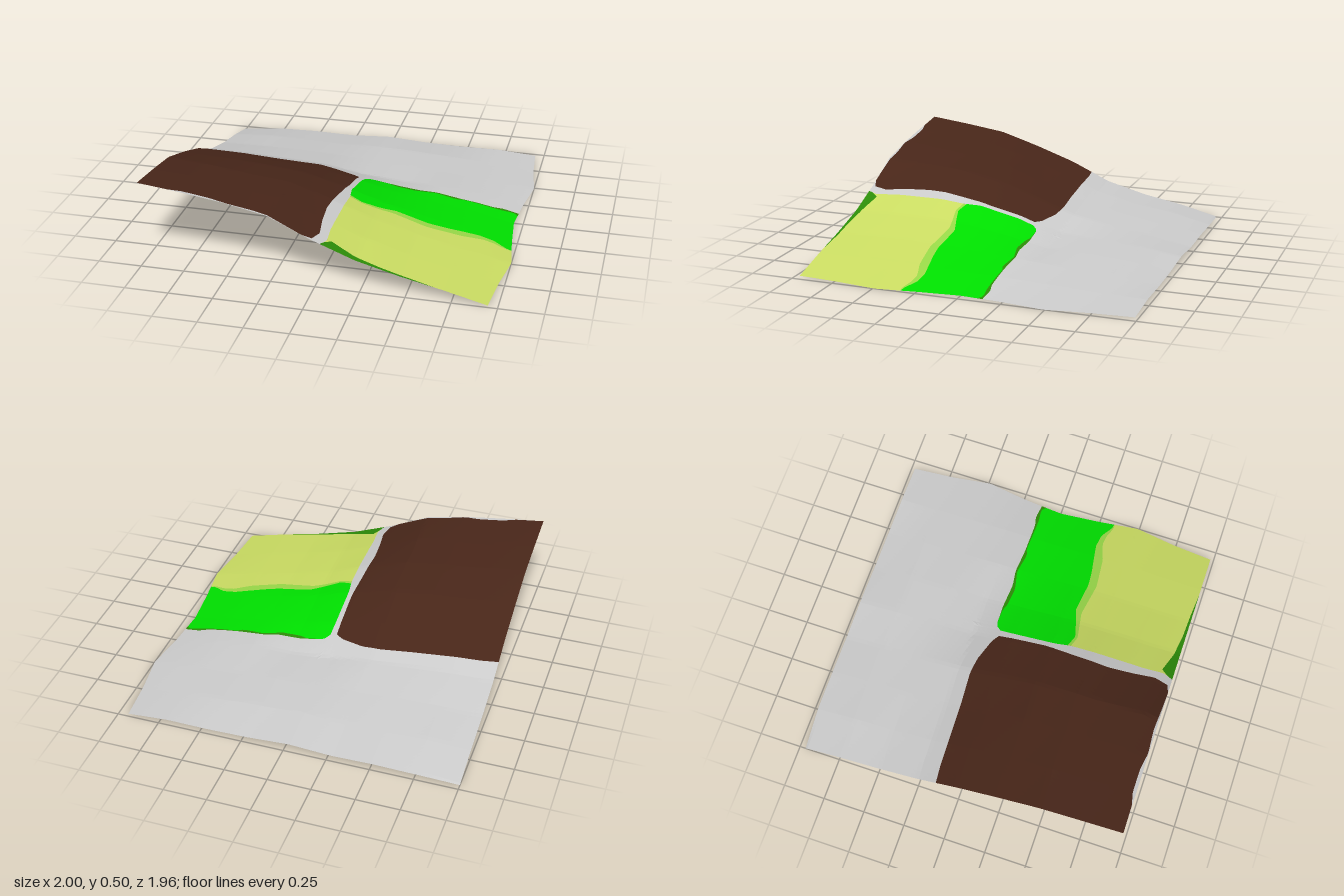
import * as THREE from 'three';

const SIDE = 0.98, RIGHT = 0.95, GAP_L = -0.02, GAP_R = 0.03;

// Terrain heights: rows run back to front, columns run from -x to +x
const HEIGHTS = [
  [0, 0.02, 0.025, 0.02, 0.035, 0.02, 0.015, 0.018, 0],
  [0.06, 0.075, 0.07, 0.065, 0.07, 0.06, 0.045, 0.025, 0],
  [0.105, 0.11, 0.11, 0.1, 0.085, 0.075, 0.055, 0.035, 0],
  [0.17, 0.168, 0.155, 0.145, 0.1, 0.08, 0.075, 0.045, 0],
  [0.28, 0.27, 0.25, 0.235, 0.19, 0.13, 0.09, 0.05, 0],
  [0.365, 0.355, 0.34, 0.315, 0.25, 0.17, 0.11, 0.06, 0],
  [0.44, 0.42, 0.39, 0.36, 0.28, 0.185, 0.12, 0.065, 0],
  [0.475, 0.45, 0.42, 0.38, 0.28, 0.19, 0.12, 0.065, 0],
  [0.505, 0.475, 0.44, 0.39, 0.275, 0.18, 0.115, 0.06, 0],
];

// Piecewise linear curve through [t, value] points
const curve = (...pts) => (t) => {
  if (t <= pts[0][0]) return pts[0][1];
  for (let i = 1; i < pts.length; i++) {
    const [a, va] = pts[i - 1], [b, vb] = pts[i];
    if (t <= b) return va + ((vb - va) * (t - a)) / (b - a);
  }
  return pts[pts.length - 1][1];
};

// Borders between the ground types, as z along x
const backEdge = () => -SIDE;
const frontEdge = () => SIDE;
const fieldBack = curve([-1, -0.13], [-0.9, -0.14], [-0.75, -0.145], [-0.5, -0.155], [-0.3, -0.17],
  [-0.2, -0.16], [-0.06, -0.115], [-0.02, -0.085], [0.03, -0.09], [0.06, -0.125], [0.2, -0.13],
  [0.35, -0.12], [0.45, -0.135], [0.6, -0.125], [0.8, -0.125], [0.86, -0.14], [0.95, -0.13]);
const grassBack = curve([0.03, -0.09], [0.06, -0.125], [0.17, -0.125], [0.21, -0.108], [0.33, -0.098],
  [0.45, -0.125], [0.58, -0.105], [0.62, -0.12], [0.78, -0.115], [0.85, -0.115], [0.92, -0.125], [0.95, -0.1]);
const grassFront = curve([0.03, 0.33], [0.1, 0.355], [0.2, 0.33], [0.3, 0.3], [0.5, 0.32], [0.6, 0.31],
  [0.78, 0.28], [0.86, 0.29], [0.92, 0.335], [0.95, 0.34]);
const meadowBack = curve([0.03, 0.35], [0.1, 0.37], [0.28, 0.34], [0.5, 0.37], [0.7, 0.35], [0.8, 0.315],
  [0.86, 0.32], [0.92, 0.345], [0.95, 0.345]);
const meadowFront = curve([0.03, 0.95], [0.05, 0.905], [0.12, 0.925], [0.2, 0.945], [0.35, 0.962],
  [0.5, 0.968], [0.66, 0.98]);
const soilFront = curve([-1, 0.98], [-0.83, 0.978], [-0.75, 0.96], [-0.6, 0.961], [-0.5, 0.977],
  [-0.35, 0.966], [-0.2, 0.975], [-0.07, 0.98], [-0.02, 0.962]);

// Sideways shifts of the path edges and the wavy outer edge, as x along z
const pathLeft = curve([-0.1, 0.01], [0.2, 0.015], [0.4, 0], [0.6, -0.012], [0.75, 0], [0.88, 0.02], [0.97, -0.005]);
const pathRight = curve([-0.1, 0], [0, -0.005], [0.25, -0.005], [0.35, 0.01], [0.8, 0.01], [0.92, 0.02], [0.98, -0.005]);
const outer = curve([-0.98, -0.005], [-0.735, 0.015], [-0.49, 0.05], [-0.245, 0.015], [0, -0.005],
  [0.245, 0.018], [0.49, 0.05], [0.735, 0.015], [0.98, -0.005]);

function heightAt(x, z) {
  const c = THREE.MathUtils.clamp(((x + 1) / (1 + RIGHT)) * 8, 0, 8);
  const r = THREE.MathUtils.clamp(((z + SIDE) / (2 * SIDE)) * 8, 0, 8);
  const i = Math.min(Math.floor(c), 7), j = Math.min(Math.floor(r), 7);
  const row = (k) => THREE.MathUtils.lerp(HEIGHTS[k][i], HEIGHTS[k][i + 1], c - i);
  return THREE.MathUtils.lerp(row(j), row(j + 1), r - j);
}

// Maps a flat ground position to the warped terrain surface
function surfacePoint(s, z) {
  const shift = curve([-1, 0], [GAP_L, pathLeft(z)], [GAP_R, pathRight(z)], [0.7, 0], [RIGHT, outer(z)])(s);
  const x = s + shift;
  const y = heightAt(s > 0.7 ? s : x, z);
  const cut = z < -0.97 ? 0.015 * Math.max(0, (-0.75 - s) / 0.25) : 0;
  return [x, y, z + cut];
}

// A patch of ground between two border curves
function patch(x0, x1, back, front, rows) {
  const cols = Math.max(2, Math.round((x1 - x0) / 0.0244));
  const pos = [], index = [];
  for (let i = 0; i <= cols; i++) {
    const s = x0 + ((x1 - x0) * i) / cols;
    for (let j = 0; j <= rows; j++) {
      pos.push(...surfacePoint(s, THREE.MathUtils.lerp(back(s), front(s), j / rows)));
    }
  }
  for (let i = 0; i < cols; i++) {
    for (let j = 0; j < rows; j++) {
      const a = i * (rows + 1) + j, b = a + rows + 1;
      index.push(a, a + 1, b, b, a + 1, b + 1);
    }
  }
  const indexed = new THREE.BufferGeometry();
  indexed.setAttribute('position', new THREE.Float32BufferAttribute(pos, 3));
  indexed.setIndex(index);
  const geo = indexed.toNonIndexed(); // faceted normals
  geo.computeVertexNormals();
  return geo;
}

export function createModel() {
  const material = (name, color) => {
    const m = new THREE.MeshStandardMaterial({ color, side: THREE.DoubleSide });
    m.name = name;
    return m;
  };
  const stone = material('stone grey', 0xcbcbcb);
  const soil = material('soil brown', 0x482619);
  const grass = material('grass green', 0x00e000);
  const fringe = material('fringe green', 0x98d848);
  const meadow = material('meadow olive', 0xcadc62);
  const darkGrass = material('dark green', 0x2c8c08);

  const group = new THREE.Group();
  group.name = 'terrainTile';
  const add = (name, mat, ...args) => {
    const mesh = new THREE.Mesh(patch(...args), mat);
    mesh.name = name;
    group.add(mesh);
  };

  // Stone ground behind the fields
  add('stoneBackLeft', stone, -1, GAP_L, backEdge, fieldBack, 32);
  add('stoneBackMiddle', stone, GAP_L, GAP_R, backEdge, fieldBack, 32);
  add('stoneBackRight', stone, GAP_R, RIGHT, backEdge, fieldBack, 32);
  // Stone path between the fields
  add('stonePath', stone, GAP_L, GAP_R, fieldBack, frontEdge, 40);
  // Ploughed hill and its stone rim
  add('soilField', soil, -1, GAP_L, fieldBack, soilFront, 40);
  add('stoneRim', stone, -1, GAP_L, soilFront, frontEdge, 1);
  // Grass and meadow bands on the low side
  add('grassBackFringe', darkGrass, GAP_R, RIGHT, fieldBack, grassBack, 1);
  add('grassBand', grass, GAP_R, RIGHT, grassBack, grassFront, 18);
  add('grassFringe', fringe, GAP_R, RIGHT, grassFront, meadowBack, 2);
  add('meadow', meadow, GAP_R, RIGHT, meadowBack, meadowFront, 24);
  add('meadowFrontFringe', darkGrass, GAP_R, RIGHT, meadowFront, frontEdge, 2);
  return group;
}
